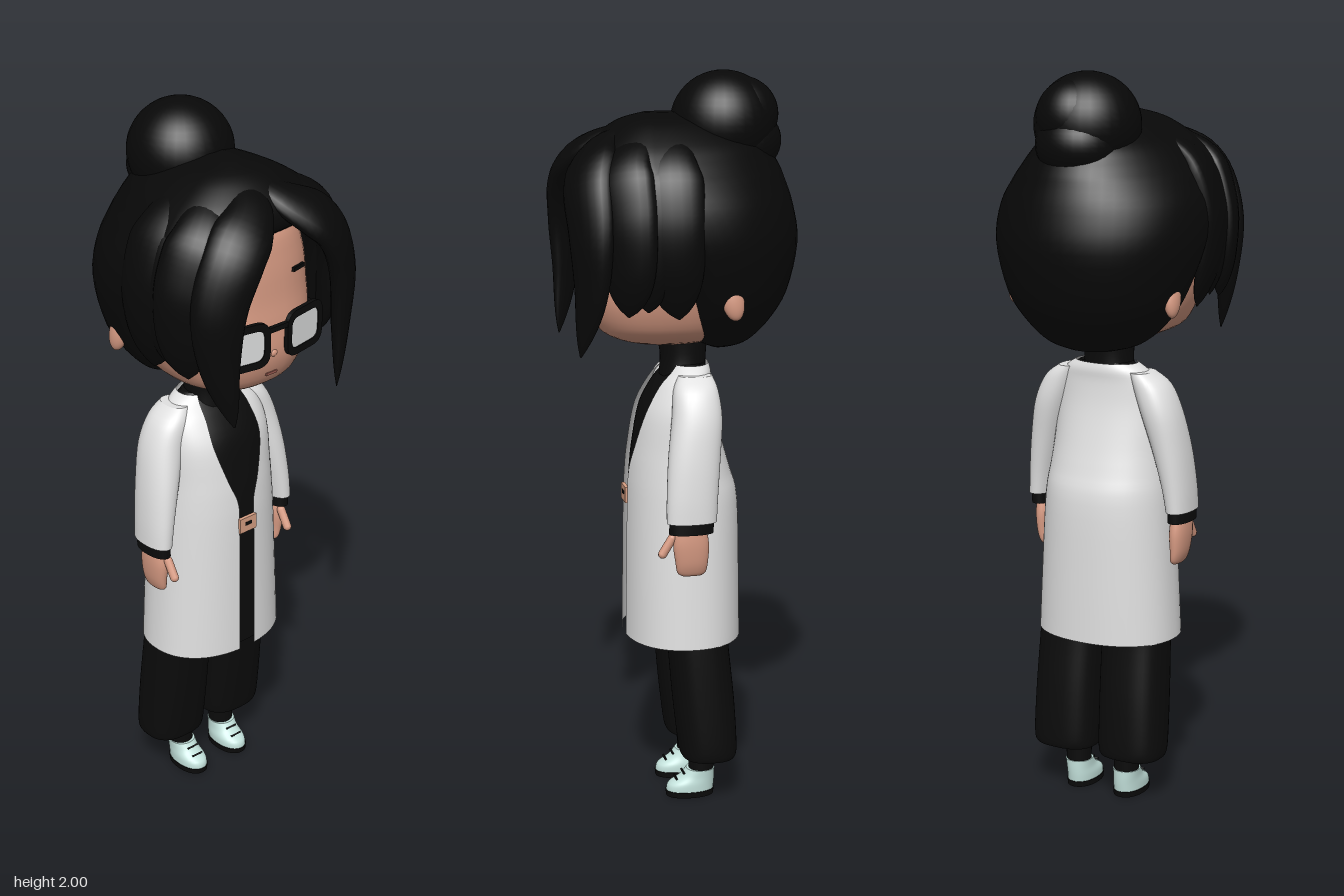
import * as THREE from 'three';

const mat = (name, color, side = THREE.FrontSide) => {
  const m = new THREE.MeshStandardMaterial({ color, side });
  m.name = name;
  return m;
};

// Smooth surface through rows of points; closed rows wrap around and get end caps
function skin(rows, closed = true) {
  if (closed) {
    const mid = (r) => r.reduce((s, p) => s.add(p), new THREE.Vector3()).divideScalar(r.length);
    const first = rows[0], last = rows[rows.length - 1];
    rows = [first.map(() => mid(first)), first, ...rows, last, last.map(() => mid(last))];
  }
  const n = rows[0].length, index = [];
  for (let j = 0; j < rows.length - 1; j++) {
    for (let i = 0; i < (closed ? n : n - 1); i++) {
      const a = j * n + i, b = j * n + (i + 1) % n;
      index.push(a, b, b + n, a, b + n, a + n);
    }
  }
  const g = new THREE.BufferGeometry().setFromPoints(rows.flat());
  g.setIndex(index);
  g.computeVertexNormals();
  return g;
}

// Upright loft; each section is [y, centreX, frontZ, backZ, halfWidth, frontGap].
// widest sets where the section is broadest, from 0 at the back to 1 at the front.
function loft(sections, { power = 2.2, open = false, steps = 4, sides = 40, widest = 0.5 } = {}) {
  const list = [...sections].sort((a, b) => a[0] - b[0]);
  const rows = [];
  const at = (i, k) => list[Math.min(Math.max(i, 0), list.length - 1)][k];
  const blend = (i, t, k) => {
    const p0 = at(i - 1, k), p1 = at(i, k), p2 = at(i + 1, k), p3 = at(i + 2, k);
    return p1 + 0.5 * t * (p2 - p0 + t * (2 * p0 - 5 * p1 + 4 * p2 - p3 + t * (3 * (p1 - p2) + p3 - p0)));
  };
  for (let q = 0; q <= (list.length - 1) * steps; q++) {
    const i = Math.min(Math.floor(q / steps), list.length - 2), t = q / steps - i;
    const [y, cx, zf, zb, rx, gap] = list[0].map((_, k) => blend(i, t, k));
    const cz = zb + (zf - zb) * widest;
    const a0 = open ? Math.asin(Math.min(0.99, (gap / rx) ** (power / 2))) : 0;
    const row = [];
    for (let s = 0; s < (open ? sides + 1 : sides); s++) {
      const a = a0 + (2 * Math.PI - 2 * a0) * s / sides;
      const f = (v) => Math.sign(v) * Math.abs(v) ** (2 / power);
      const c = f(Math.cos(a));
      row.push(new THREE.Vector3(cx + rx * f(Math.sin(a)), y, cz + c * (c > 0 ? zf - cz : cz - zb)));
    }
    rows.push(row);
  }
  return skin(rows, !open);
}

// Hair lock lying flat against the head; a higher bluntness tapers later
function lock(points, width, thick, bluntness, side) {
  const curve = new THREE.CatmullRomCurve3(points.map(([x, y, z]) => new THREE.Vector3(x * side, y, z)));
  const rows = [];
  for (let j = 0; j <= 32; j++) {
    const t = j / 32, p = curve.getPoint(t), T = curve.getTangent(t);
    const N = p.clone().sub(new THREE.Vector3(0, 1.55, 0));
    N.addScaledVector(T, -N.dot(T)).normalize();
    const B = new THREE.Vector3().crossVectors(T, N);
    const k = Math.min(1, 0.35 + 2 * t) * Math.max(0.03, (1 - t ** bluntness) ** 0.8);
    rows.push(Array.from({ length: 20 }, (_, i) => {
      const a = i / 20 * Math.PI * 2;
      return p.clone().addScaledVector(N, Math.cos(a) * thick * k).addScaledVector(B, Math.sin(a) * width * k);
    }));
  }
  return skin(rows);
}

function roundedRect(shape, w, h, r) {
  const x = w / 2, y = h / 2;
  shape.moveTo(-x + r, -y).lineTo(x - r, -y).quadraticCurveTo(x, -y, x, -y + r);
  shape.lineTo(x, y - r).quadraticCurveTo(x, y, x - r, y).lineTo(-x + r, y);
  shape.quadraticCurveTo(-x, y, -x, y - r).lineTo(-x, -y + r).quadraticCurveTo(-x, -y, -x + r, -y);
  return shape;
}

export function createModel() {
  const model = new THREE.Group();
  const hair = mat('hair black', 0x080808);
  const cloth = mat('clothing black', 0x0b0b0b);
  const skinTone = mat('skin', 0xd99c84);
  const white = mat('coat white', 0xe1e1e1, THREE.DoubleSide);
  const glass = mat('lens grey', 0xdfe1e1, THREE.DoubleSide);
  const mint = mat('shoe mint', 0xc4e2dc);
  const lip = mat('lip', 0x9a5a50);
  const tan = mat('buckle tan', 0xd8a084);
  const add = (name, geo, m, pos = [0, 0, 0], rot = [0, 0, 0], scale = [1, 1, 1]) => {
    const mesh = new THREE.Mesh(geo, m);
    mesh.name = name;
    mesh.position.set(...pos);
    mesh.rotation.set(...rot);
    mesh.scale.set(...scale);
    model.add(mesh);
  };
  const ball = new THREE.SphereGeometry(1, 32, 24);

  // Head and face
  add('head', loft([
    [1.283, 0, 0.12, -0.08, 0.07], [1.3, 0, 0.175, -0.11, 0.125], [1.33, 0, 0.217, -0.14, 0.175],
    [1.4, 0, 0.24, -0.15, 0.207], [1.48, 0, 0.235, -0.15, 0.22], [1.55, 0, 0.225, -0.15, 0.22],
    [1.65, 0, 0.215, -0.15, 0.21], [1.74, 0, 0.19, -0.13, 0.17], [1.79, 0, 0.1, -0.08, 0.08],
  ], { power: 2.4 }), skinTone);
  add('nose', ball, skinTone, [0, 1.415, 0.236], [0, 0, 0], [0.012, 0.011, 0.009]);
  add('mouth', new THREE.BoxGeometry(0.036, 0.007, 0.008), lip, [0, 1.355, 0.229]);

  // Back hair and bun
  add('backHair', loft([
    [1.27, 0, -0.08, -0.16, 0.07], [1.29, 0, -0.045, -0.2, 0.135], [1.34, 0, 0, -0.25, 0.195],
    [1.42, 0, 0.03, -0.297, 0.25], [1.55, 0, 0.08, -0.325, 0.29], [1.65, 0, 0.13, -0.312, 0.29],
    [1.72, 0, 0.195, -0.29, 0.265], [1.75, 0, 0.237, -0.278, 0.25], [1.78, 0, 0.243, -0.26, 0.23],
    [1.82, 0, 0.222, -0.23, 0.19], [1.87, 0, 0.16, -0.13, 0.11], [1.893, 0, 0.09, -0.02, 0.03],
  ], { power: 2.05, widest: 0.72, sides: 56 }), hair);
  add('bun', ball, hair, [0, 1.863, -0.128], [0, 0, 0], [0.141, 0.137, 0.141]);
  add('bunCurl', ball, hair, [0.015, 1.885, -0.17], [0, 0, 0], [0.1, 0.1, 0.102]);
  add('bunBase', ball, hair, [0, 1.815, -0.172], [0, 0, 0], [0.115, 0.095, 0.112]);

  // Torso, turtleneck and open coat
  const coat = [
    [1.225, 0, 0.025, -0.085, 0.09, 0.064], [1.205, 0, 0.038, -0.09, 0.12, 0.07],
    [1.17, 0, 0.07, -0.09, 0.147, 0.076], [1.1, 0, 0.11, -0.1, 0.16, 0.08],
    [1.0, 0, 0.13, -0.125, 0.165, 0.052], [0.93, 0, 0.138, -0.145, 0.172, 0.027],
    [0.85, 0, 0.142, -0.165, 0.18, 0.026], [0.65, 0, 0.145, -0.17, 0.192, 0.026],
    [0.465, 0, 0.147, -0.172, 0.202, 0.026],
  ];
  add('coat', loft(coat, { open: true, sides: 56 }), white);
  add('shirt', loft(coat.map(([y, x, f, b, w]) => [y + (y < 0.5 ? 0.012 : 0), x, f - 0.012, b + 0.012, w - 0.012])), cloth);
  add('turtleneck', loft([[1.19, 0, 0.045, -0.08, 0.07], [1.24, 0, 0.042, -0.08, 0.067], [1.295, 0, 0.05, -0.085, 0.07]]), cloth);
  add('buckle', new THREE.BoxGeometry(0.058, 0.044, 0.01), tan, [0, 0.863, 0.142]);
  add('buckleMark', new THREE.BoxGeometry(0.022, 0.01, 0.003), cloth, [0, 0.866, 0.147]);

  // Glasses bridge
  add('glassesBridge', new THREE.BoxGeometry(0.07, 0.014, 0.012), cloth, [0, 1.492, 0.252]);

  const frameShape = roundedRect(new THREE.Shape(), 0.148, 0.126, 0.04);
  frameShape.holes.push(roundedRect(new THREE.Path(), 0.112, 0.086, 0.026));
  const frameGeo = new THREE.ExtrudeGeometry(frameShape, { depth: 0.012, bevelEnabled: false, curveSegments: 8 });
  const lensGeo = new THREE.ShapeGeometry(roundedRect(new THREE.Shape(), 0.116, 0.09, 0.028), 8);

  for (const s of [1, -1]) {
    const side = s > 0 ? 'left' : 'right';

    // Face details and glasses
    add(side + 'Ear', ball, skinTone, [0.236 * s, 1.427, -0.1], [0.2, 0, 0.12 * s], [0.021, 0.056, 0.03]);
    add(side + 'Brow', new THREE.BoxGeometry(0.06, 0.011, 0.008), hair, [0.11 * s, 1.612, 0.206], [0, 0.38 * s, -0.12 * s]);
    add(side + 'GlassesFrame', frameGeo, cloth, [0.1 * s, 1.457, 0.234], [0, 0.18 * s, 0]);
    add(side + 'Lens', lensGeo, glass, [0.101 * s, 1.457, 0.243], [0, 0.18 * s, 0]);
    const temple = new THREE.LineCurve3(new THREE.Vector3(0.17 * s, 1.49, 0.224), new THREE.Vector3(0.225 * s, 1.47, -0.06));
    add(side + 'GlassesArm', new THREE.TubeGeometry(temple, 1, 0.007, 6), cloth);

    // Front and side hair locks
    add(side + 'FrontLock', lock([[0.01, 1.862, 0.1], [0.06, 1.812, 0.21], [0.155, 1.735, 0.262], [0.208, 1.61, 0.265],
      [0.208, 1.45, 0.266], [0.178, 1.28, 0.29]], 0.08, 0.038, 4, s), hair);
    add(side + 'MiddleLock', lock([[0.04, 1.865, 0.07], [0.19, 1.772, 0.17], [0.242, 1.65, 0.175], [0.246, 1.52, 0.172],
      [0.23, 1.39, 0.172]], 0.08, 0.036, 8, s), hair);
    add(side + 'InnerLock', lock([[0.05, 1.85, 0.06], [0.2, 1.76, 0.12], [0.246, 1.65, 0.125], [0.246, 1.52, 0.125],
      [0.23, 1.4, 0.12]], 0.07, 0.03, 8, s), hair);
    add(side + 'SideLock', lock([[0.05, 1.865, 0.03], [0.21, 1.772, 0.06], [0.262, 1.65, 0.065], [0.262, 1.52, 0.06],
      [0.234, 1.38, 0.04]], 0.085, 0.032, 8, s), hair);

    // Arm: sleeve, cuff and mitten-shaped hand
    add(side + 'Sleeve', loft([
      [1.205, 0.11 * s, 0.015, -0.075, 0.03], [1.17, 0.137 * s, 0.035, -0.085, 0.048], [1.1, 0.165 * s, 0.045, -0.09, 0.052],
      [1.0, 0.19 * s, 0.06, -0.08, 0.046], [0.9, 0.208 * s, 0.068, -0.07, 0.038], [0.83, 0.216 * s, 0.07, -0.065, 0.033],
    ]), white);
    add(side + 'Cuff', loft([[0.84, 0.216 * s, 0.062, -0.058, 0.029], [0.8, 0.215 * s, 0.064, -0.056, 0.029]]), cloth);
    add(side + 'Hand', loft([
      [0.82, 0.213 * s, 0.042, -0.035, 0.021], [0.77, 0.212 * s, 0.052, -0.045, 0.024], [0.72, 0.211 * s, 0.046, -0.043, 0.02],
      [0.69, 0.207 * s, 0.04, -0.038, 0.015], [0.68, 0.206 * s, 0.028, -0.027, 0.009],
    ], { sides: 24 }), skinTone);
    add(side + 'Thumb', new THREE.CapsuleGeometry(0.012, 0.05, 4, 10), skinTone, [0.207 * s, 0.765, 0.067], [-0.55, 0, 0]);

    // Leg: wide trousers, bare ankle inside the hem, sock and shoe
    add(side + 'Trouser', loft([
      [0.55, 0.094 * s, 0.05, -0.12, 0.09], [0.47, 0.098 * s, 0.042, -0.12, 0.092], [0.3, 0.102 * s, 0.028, -0.137, 0.094],
      [0.16, 0.104 * s, 0.012, -0.145, 0.094], [0.13, 0.103 * s, 0.006, -0.14, 0.088],
    ], { power: 2.6 }), cloth);
    add(side + 'Ankle', new THREE.CylinderGeometry(0.05, 0.05, 0.006, 24), skinTone, [0.08 * s, 0.129, -0.075]);
    add(side + 'Sock', new THREE.CylinderGeometry(0.037, 0.034, 0.09, 24), cloth, [0.077 * s, 0.1, -0.056]);
    add(side + 'Sole', loft([[0, 0.075 * s, 0.043, -0.09, 0.041], [0.016, 0.075 * s, 0.045, -0.092, 0.042]]), cloth);
    add(side + 'Shoe', loft([
      [0.015, 0.075 * s, 0.043, -0.09, 0.04], [0.035, 0.075 * s, 0.037, -0.092, 0.04],
      [0.055, 0.076 * s, 0.005, -0.093, 0.037], [0.077, 0.077 * s, -0.014, -0.093, 0.037],
    ]), mint);
    for (const [y, z] of [[0.05, 0.017], [0.066, -0.004]]) {
      add(side + 'Lace', new THREE.BoxGeometry(0.034, 0.005, 0.006), cloth, [0.075 * s, y, z], [-0.8, 0, 0]);
    }
  }
  return model;
}
